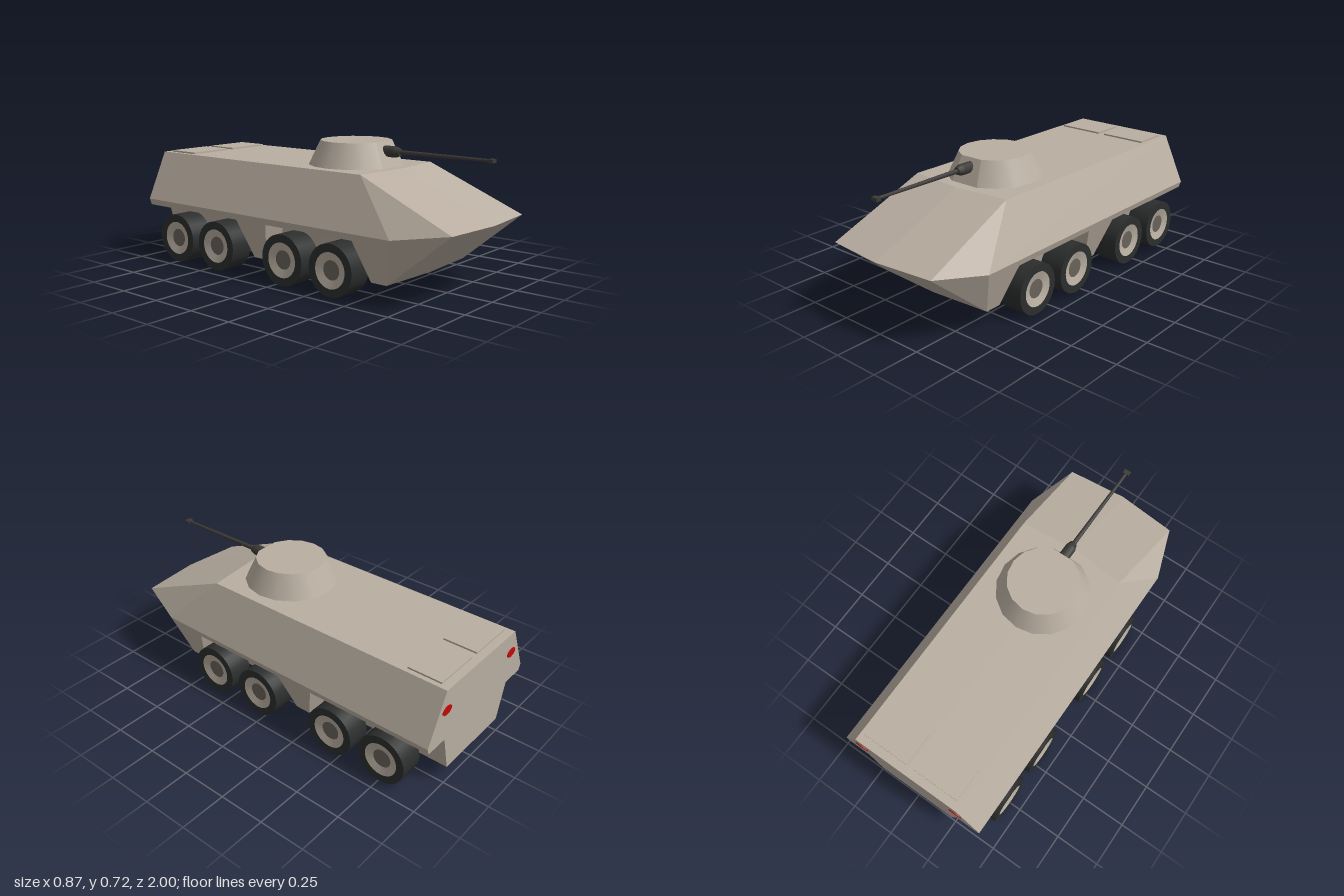
import * as THREE from 'three';
import { mergeGeometries } from 'three/addons/utils/BufferGeometryUtils.js';

const material = (name, color, side = THREE.FrontSide) =>
  Object.assign(new THREE.MeshStandardMaterial({ color, side }), { name });

// Collects flat polygons, each mirrored across x; "out" is a rough outward direction.
function mirroredFaces() {
  const pos = [];
  const emit = (pts, out) => {
    const a = out.map(Math.abs);
    const drop = a.indexOf(Math.max(...a));
    const [u, v] = [0, 1, 2].filter(i => i !== drop);
    const flat = pts.map(p => new THREE.Vector2(p[u], p[v]));
    const dir = new THREE.Vector3(...out);
    for (const tri of THREE.ShapeUtils.triangulateShape(flat, [])) {
      const [p, q, r] = tri.map(i => new THREE.Vector3(...pts[i]));
      const n = q.clone().sub(p).cross(r.clone().sub(p));
      for (const w of n.dot(dir) < 0 ? [p, r, q] : [p, q, r]) pos.push(w.x, w.y, w.z);
    }
  };
  return {
    add(pts, out) {
      emit(pts, out);
      emit(pts.map(([x, y, z]) => [-x, y, z]), [-out[0], out[1], out[2]]);
    },
    build() {
      const g = new THREE.BufferGeometry();
      g.setAttribute('position', new THREE.Float32BufferAttribute(pos, 3));
      g.computeVertexNormals();
      return g;
    },
  };
}

const ROOF = 0.592, WAIST = 0.33, ARCH = 0.295, FLOOR = 0.088;

function hullGeometry() {
  const f = mirroredFaces();
  const outer = y => THREE.MathUtils.mapLinear(y, FLOOR, WAIST, 0.345, 0.427);
  const inner = y => THREE.MathUtils.mapLinear(y, FLOOR, ARCH, 0.232, 0.284);
  const roofMid = [0, ROOF, 0.47], roofCorner = [0.305, ROOF, 0.44];
  const noseMid = [0, 0.37, 1], noseCorner = [0.33, 0.37, 0.97];
  const bowMid = [0, FLOOR, 0.65], bowCorner = [0.345, FLOOR, 0.63];
  const cheek = [0.427, WAIST, 0.7];

  f.add([[0, ROOF, -1], [0.305, ROOF, -1], roofCorner, roofMid], [0, 1, 0]);
  f.add([roofMid, roofCorner, noseCorner, noseMid], [0, 1, 0.4]);
  f.add([roofCorner, cheek, noseCorner], [1, 0.5, 0.4]);
  f.add([[0.305, ROOF, -1], roofCorner, cheek, [0.427, WAIST, -1]], [1, 0.4, 0]);
  f.add([cheek, noseCorner, bowCorner], [1, -0.3, 0.3]);
  f.add([noseMid, noseCorner, bowCorner, bowMid], [0, -0.6, 0.8]);

  // Wheel arches: z of front bottom, front top, back top, back bottom
  const arches = [[0.54, 0.475, -0.085, -0.15], [-0.235, -0.3, -1, -1]];
  const side = [[-1, WAIST], [0.7, WAIST], [0.63, FLOOR]];
  const floor = [bowMid, bowCorner];
  for (const [fb, ft, bt, bb] of arches) {
    const loop = [[fb, FLOOR], [ft, ARCH], [bt, ARCH], [bb, FLOOR]];
    const [o0, o1, o2, o3] = loop.map(([z, y]) => [outer(y), y, z]);
    const [i0, i1, i2, i3] = loop.map(([z, y]) => [inner(y), y, z]);
    f.add([i0, i1, i2, i3], [1, -0.2, 0]);
    f.add([o1, o2, i2, i1], [0, -1, 0]);
    f.add([o0, o1, i1, i0], [0, -0.2, -1]);
    if (bb > -1) {
      f.add([o2, o3, i3, i2], [0, -0.2, 1]);
      side.push(...loop);
      floor.push(o0, i0, i3, o3);
    } else {
      side.push(...loop.slice(0, 3));
      floor.push(o0, i0, i3);
    }
  }
  f.add(side.map(([z, y]) => [outer(y), y, z]), [1, -0.3, 0]);
  f.add([...floor, [0, FLOOR, -1]], [0, -1, 0]);
  f.add([[0, ROOF, -1], [0.305, ROOF, -1], [0.427, WAIST, -1], [outer(ARCH), ARCH, -1],
    [inner(ARCH), ARCH, -1], [inner(FLOOR), FLOOR, -1], [0, FLOOR, -1]], [0, 0, -1]);
  return f.build();
}

export function createModel() {
  const model = new THREE.Group();
  const paint = material('hull paint', 0xb9aea1);
  const rubber = material('tyre rubber', 0x2c2d2d);
  const hubGrey = material('hub grey', 0x69635a);
  const gunMetal = material('gun metal', 0x3c3a37);
  const lampRed = material('lamp red', 0xc40808);

  const add = (parent, name, geometry, mat, x = 0, y = 0, z = 0) => {
    const mesh = new THREE.Mesh(geometry, mat);
    mesh.name = name;
    mesh.position.set(x, y, z);
    parent.add(mesh);
    return mesh;
  };

  add(model, 'hull', hullGeometry(), paint);

  // Turret: conical wall with one flat facet in front
  const turret = new THREE.Group();
  turret.name = 'turret';
  turret.position.set(0, ROOF, 0.177);
  model.add(turret);
  const cut = Math.PI / 9, steps = 14, height = 0.126, rBase = 0.248, rTop = 0.188;
  const sweep = 2 * Math.PI - 2 * cut;
  add(turret, 'turretWall', new THREE.LatheGeometry(
    [new THREE.Vector2(rBase, 0), new THREE.Vector2(rTop, height)], steps, cut, sweep), paint);
  const s = Math.sin(cut), c = Math.cos(cut);
  const facet = mirroredFaces();
  facet.add([[0, 0, rBase * c], [rBase * s, 0, rBase * c],
    [rTop * s, height, rTop * c], [0, height, rTop * c]], [0, 0, 1]);
  add(turret, 'turretFront', facet.build(), paint);
  const rim = Array.from({ length: steps + 1 }, (_, i) => {
    const a = cut + sweep * i / steps - Math.PI / 2;
    return new THREE.Vector2(rTop * Math.cos(a), rTop * Math.sin(a));
  });
  add(turret, 'turretRoof', new THREE.ShapeGeometry(new THREE.Shape(rim)).rotateX(-Math.PI / 2),
    paint, 0, height, 0);

  // Gun along z
  const gun = new THREE.Group();
  gun.name = 'gun';
  gun.position.set(0, 0.672, 0);
  model.add(gun);
  const rod = (name, rBack, rFront, z0, z1, sides) => add(gun, name,
    new THREE.CylinderGeometry(rFront, rBack, z1 - z0, sides).rotateX(Math.PI / 2),
    gunMetal, 0, 0, (z0 + z1) / 2);
  rod('mantlet', 0.029, 0.029, 0.33, 0.43, 10);
  rod('mantletTip', 0.029, 0.02, 0.43, 0.458, 10);
  rod('barrel', 0.012, 0.008, 0.455, 0.985, 10);
  add(gun, 'muzzleBrake', new THREE.BoxGeometry(0.036, 0.018, 0.026), gunMetal, 0, 0, 0.972);

  // Wheels
  const R = 0.134, rimR = 0.092, hubR = 0.05, half = 0.066, dish = 0.012;
  const bothEnds = g => [g, g.clone().rotateX(Math.PI)];
  const ring = new THREE.RingGeometry(rimR, R, 28).rotateX(-Math.PI / 2).translate(0, half, 0);
  const onAxle = list => mergeGeometries(list).rotateZ(-Math.PI / 2);
  const tyre = onAxle([new THREE.CylinderGeometry(R, R, 2 * half, 28, 1, true), ...bothEnds(ring)]);
  const rimDish = onAxle(bothEnds(new THREE.LatheGeometry(
    [new THREE.Vector2(rimR, half), new THREE.Vector2(hubR, half - dish)], 28)));
  const hub = onAxle(bothEnds(
    new THREE.CircleGeometry(hubR, 28).rotateX(-Math.PI / 2).translate(0, half - dish, 0)));
  const axle = new THREE.CylinderGeometry(0.03, 0.03, 0.11, 12).rotateZ(Math.PI / 2);
  for (const side of [1, -1]) {
    for (const z of [0.36, 0.045, -0.44, -0.755]) {
      const wheel = new THREE.Group();
      wheel.name = side > 0 ? 'leftWheel' : 'rightWheel';
      wheel.position.set(side * 0.371, R, z);
      model.add(wheel);
      add(wheel, 'tyre', tyre, rubber);
      add(wheel, 'rim', rimDish, paint);
      add(wheel, 'hub', hub, hubGrey);
      add(wheel, 'axle', axle, paint, side * -0.1, 0, 0);
    }
    // Rear roof hatches and tail lamps
    add(model, 'roofHatch', new THREE.BoxGeometry(0.26, 0.009, 0.185), paint,
      side * 0.15, ROOF + 0.0045, -0.863);
    const lamp = add(model, 'tailLamp',
      new THREE.CylinderGeometry(1, 1, 0.008, 10).rotateX(Math.PI / 2), lampRed,
      side * 0.29, 0.475, -1);
    lamp.scale.set(0.038, 0.025, 1);
  }
  return model;
}
